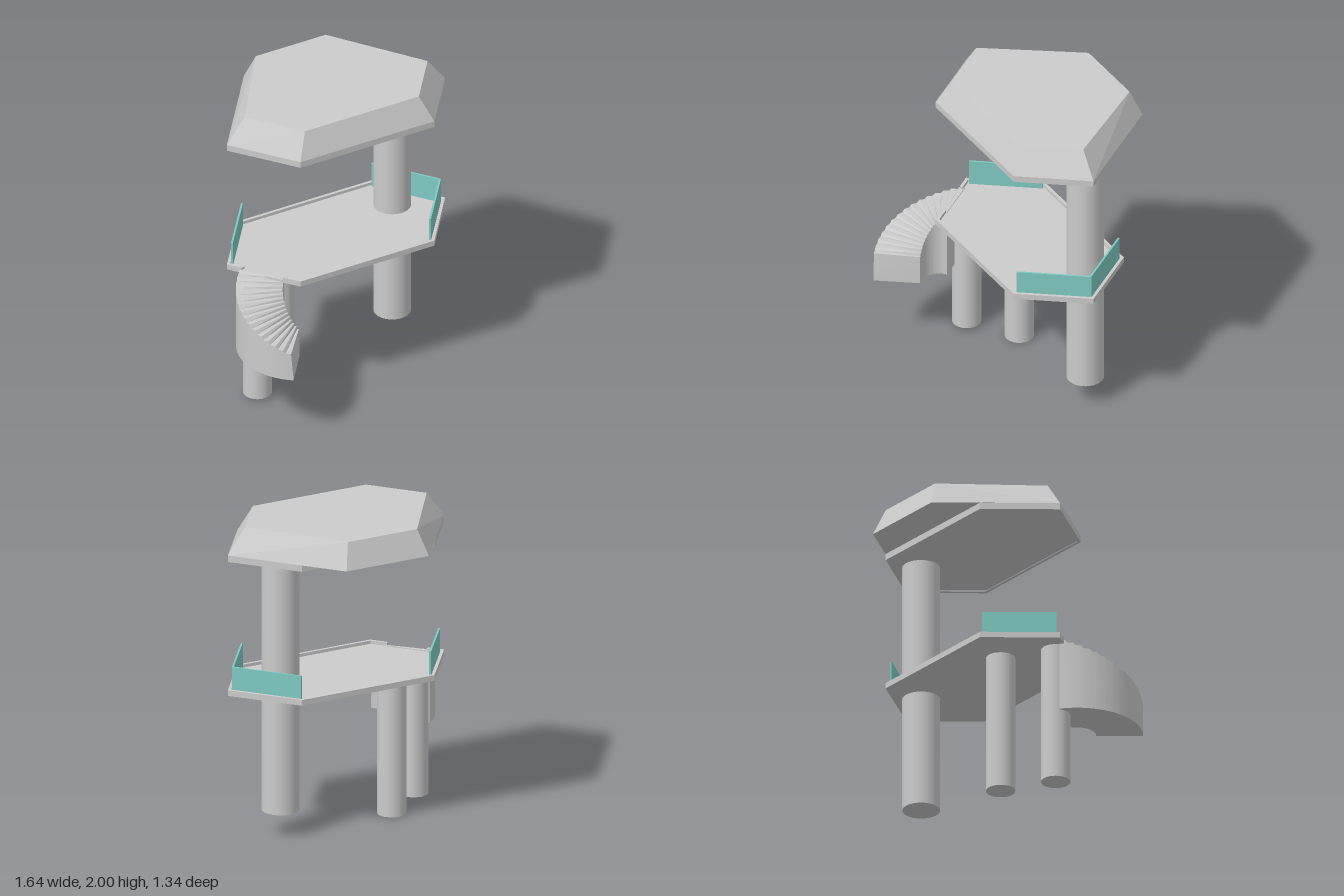
import * as THREE from 'three';
import { toCreasedNormals } from 'three/addons/utils/BufferGeometryUtils.js';
import { ConvexGeometry } from 'three/addons/geometries/ConvexGeometry.js';

const grey = new THREE.MeshStandardMaterial({ color: 0xcccccc });
const teal = new THREE.MeshStandardMaterial({ color: 0x80cbc4 });
const CX = 0.045, CZ = -0.035; // centre of the deck hexagon

// Deck hexagon as [x, z], moved inwards by d: front left, front right, right tip, back right, back left, left tip
function hexagon(d = 0) {
  const tip = 0.775 - 1.25 * d, flat = 0.475 - 0.5 * d, depth = 0.395 - d;
  return [[-flat, depth], [flat, depth], [tip, 0], [flat, -depth], [-flat, -depth], [-tip, 0]]
    .map(([x, z]) => new THREE.Vector2(x + CX, z + CZ));
}

// Flat plate in plan between two heights
function plate(points, y0, y1, holePoints) {
  const shape = new THREE.Shape(points);
  if (holePoints) shape.holes.push(new THREE.Path(holePoints));
  const geo = new THREE.ExtrudeGeometry(shape, { depth: y1 - y0, bevelEnabled: false });
  return geo.rotateX(Math.PI / 2).translate(0, y1, 0);
}

// Rim outline left open on the front left edge, where the stairs arrive
function openRim(width) {
  const side = (pts) => [pts[5].clone().lerp(pts[0], 0.76), ...pts, pts[5].clone().lerp(pts[0], 0.2)];
  return [...side(hexagon()), ...side(hexagon(width)).reverse()];
}

// Solid curved flight of steps with leaning risers
function stairGeometry() {
  const cx = -0.41, cz = 0.345, inner = 0.12, outer = 0.41, base = 0.475;
  const steps = 15, start = Math.atan2(0.8, -0.6), sweep = 2 * (Math.PI - start);
  const step = sweep / steps, lean = step * 0.3, rise = 0.273 / (steps - 1);
  const profile = [[start, 0.49]];
  for (let i = 0; i < steps; i++) {
    const a = start + i * step, y = 0.667 + i * rise;
    profile.push([a + lean, y], [a + step, y]);
  }
  const sections = profile.map(([a, y]) =>
    [[outer, y], [inner, y], [inner, base], [outer, base]].map(([r, h]) =>
      [cx + r * Math.cos(a), h, cz + r * Math.sin(a)]));
  const pos = [];
  const quad = (a, b, c, d) => pos.push(...a, ...b, ...c, ...a, ...c, ...d);
  for (let k = 0; k < sections.length - 1; k++) {
    const s = sections[k], t = sections[k + 1];
    for (let j = 0; j < 4; j++) {
      const n = (j + 1) % 4;
      quad(s[j], s[n], t[n], t[j]);
    }
  }
  const first = sections[0], last = sections[sections.length - 1];
  quad(first[3], first[2], first[1], first[0]);
  quad(...last);
  const geo = new THREE.BufferGeometry();
  geo.setAttribute('position', new THREE.Float32BufferAttribute(pos, 3));
  geo.computeVertexNormals();
  return toCreasedNormals(geo, 0.35);
}

export function createModel() {
  const model = new THREE.Group();
  const add = (name, geo, material = grey) => {
    const mesh = new THREE.Mesh(geo, material);
    mesh.name = name;
    model.add(mesh);
    return mesh;
  };

  // Deck with a raised rim
  add('deckFloor', plate(hexagon(), 0.918, 0.935));
  add('deckRim', plate(openRim(0.02), 0.935, 0.955));

  // Roof: underside lip, ceiling and sloped cap that reaches further back
  add('roofLip', plate(hexagon(), 1.793, 1.815, hexagon(0.02)));
  add('roofCeiling', plate(hexagon(), 1.815, 1.835));
  const eaves = [[-0.43, 0.36], [0.52, 0.36], [0.82, -0.035], [0.34, -0.67], [-0.25, -0.67], [-0.73, -0.035]];
  const crown = [[-0.36, 0.29], [0.45, 0.29], [0.695, -0.035], [0.293, -0.605], [-0.203, -0.605], [-0.605, -0.035]];
  add('roofCap', new ConvexGeometry([
    ...eaves.map(([x, z]) => new THREE.Vector3(x, 1.835, z)),
    ...crown.map(([x, z]) => new THREE.Vector3(x, 2, z)),
  ]));

  // Pillars: x, z, radius, bottom, top
  const pillars = {
    mainPillar: [0.513, -0.157, 0.117, 0.16, 1.82],
    stairPillar: [-0.565, 0.058, 0.091, 0.02, 0.925],
    rearPillar: [-0.285, -0.155, 0.091, 0, 0.905],
  };
  for (const [name, [x, z, r, y0, y1]] of Object.entries(pillars)) {
    add(name, new THREE.CylinderGeometry(r, r, y1 - y0, 40)).position.set(x, (y0 + y1) / 2, z);
  }

  // Guard panels on three slanted edges of the deck
  const edge = hexagon(0.029);
  for (const [name, i] of [['frontRightPanel', 1], ['backRightPanel', 2], ['backLeftPanel', 4]]) {
    const a = edge[i], b = edge[i + 1];
    const panel = add(name, new THREE.BoxGeometry(a.distanceTo(b), 0.167, 0.012), teal);
    panel.position.set((a.x + b.x) / 2, 1.0185, (a.y + b.y) / 2);
    panel.rotation.y = Math.atan2(a.y - b.y, b.x - a.x);
  }

  add('curvedStairs', stairGeometry());
  return model;
}
